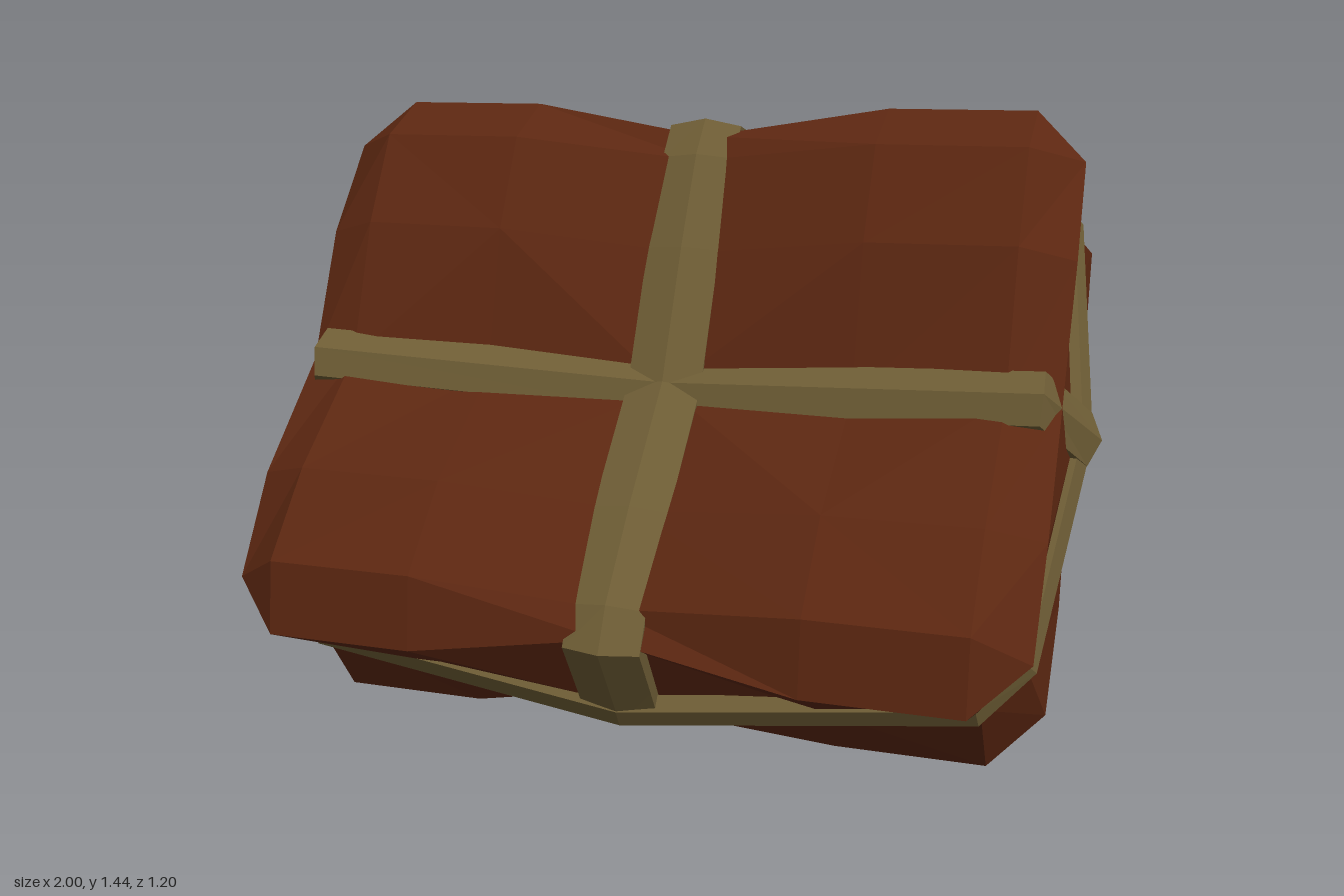
import * as THREE from 'three';

const cloth = new THREE.MeshStandardMaterial({ color: 0x5c2711, flatShading: true });
cloth.name = 'brown cloth';
const cord = new THREE.MeshStandardMaterial({ color: 0x6e5d35, flatShading: true });
cord.name = 'tan strap';

// Completes a quarter loop (from the vertical axis to the horizontal one) by mirroring it
function fullLoop(quarter) {
  const flip = (p, sx, sy) => [p[0] * sx, p[1] * sy, p[2] ?? 0];
  const back = [...quarter].reverse();
  return [
    ...quarter.map(p => flip(p, 1, 1)),
    ...back.slice(1).map(p => flip(p, 1, -1)),
    ...quarter.slice(1).map(p => flip(p, -1, -1)),
    ...back.slice(1, -1).map(p => flip(p, -1, 1)),
  ];
}

// Skins a list of matching loops, front to back, with flat facets
function loft(loops, place = p => p) {
  const pos = [];
  const tri = (...corners) => {
    const [a, b, c] = corners.map(p => new THREE.Vector3(...place(p)));
    const area = b.clone().sub(a).cross(c.clone().sub(a)).length();
    if (area > 1e-7) for (const v of [a, b, c]) pos.push(v.x, v.y, v.z);
  };
  for (let i = 0; i + 1 < loops.length; i++) {
    const A = loops[i], B = loops[i + 1];
    A.forEach((a, j) => {
      const k = (j + 1) % A.length;
      tri(a, A[k], B[j]);
      tri(A[k], B[k], B[j]);
    });
  }
  const geo = new THREE.BufferGeometry();
  geo.setAttribute('position', new THREE.Float32BufferAttribute(pos, 3));
  geo.computeVertexNormals();
  return geo;
}

// Lumpy parcel, pinched where the straps pull it in
function bundleGeometry() {
  const centre = [0, 0, 0.13], bulge = [0.45, 0.33, 0.28], corner = [0.8, 0.57, 0.312];
  const half = [
    Array(6).fill(centre),
    [[0, 0.33, 0.19], bulge, bulge, bulge, bulge, [0.45, 0, 0.155]],
    [[0, 0.57, 0.22], [0.45, 0.57, 0.312], corner, corner, [0.8, 0.33, 0.288], [0.8, 0, 0.195]],
    [[0, 0.64, 0.218], [0.45, 0.72, 0.228], [0.8, 0.72, 0.228], [0.92, 0.59, 0.22], [0.925, 0.33, 0.23], [0.92, 0, 0.17]],
  ].map(fullLoop);
  const waist = fullLoop([[0, 0.73], [0.45, 0.69], [0.8, 0.645], [0.885, 0.535], [0.9, 0.33], [0.94, 0]]);
  const rear = half.map(r => r.map(([x, y, z]) => [x, y, -z])).reverse();
  return loft([...half, waist, ...rear]);
}

// Closed strap with a slightly ridged outer face, following a quarter path
function strapGeometry(quarter, halfWidth, lift, place) {
  const path = fullLoop(quarter), n = path.length;
  const inset = (depth, offset) => path.map((p, i) => {
    const a = path[(i + n - 1) % n], b = path[(i + 1) % n];
    const tx = b[0] - a[0], ty = b[1] - a[1], len = Math.hypot(tx, ty);
    return [p[0] + ty / len * depth, p[1] - tx / len * depth, offset];
  });
  return loft([
    inset(lift + 0.04, halfWidth), inset(lift, halfWidth), inset(0, 0),
    inset(lift, -halfWidth), inset(lift + 0.04, -halfWidth),
  ], place);
}

export function createModel() {
  const model = new THREE.Group();
  model.name = 'tiedBundle';
  const tilt = new THREE.Group();
  tilt.name = 'leaningBundle';
  tilt.rotation.x = -0.615;
  tilt.position.y = 0.7225;
  model.add(tilt);

  const add = (name, geo, mat) => {
    const mesh = new THREE.Mesh(geo, mat);
    mesh.name = name;
    tilt.add(mesh);
  };
  add('bundle', bundleGeometry(), cloth);

  // Strap over the front, top, back and bottom
  add('verticalStrap', strapGeometry(
    [[0, 0.17], [0.33, 0.225], [0.57, 0.25], [0.68, 0.235], [0.735, 0.1], [0.775, 0]],
    0.09, 0.018, ([p, q, o]) => [o, p, q]), cord);

  // Strap over the front, ends and back
  add('horizontalStrap', strapGeometry(
    [[0, 1.0], [0.243, 0.885], [0.165, 0]],
    0.065, 0.027, ([p, q, o]) => [q, o, p]), cord);

  // Strap along the narrow edges
  add('edgeStrap', strapGeometry(
    [[0, 0.78], [0.8, 0.68], [0.91, 0.55], [0.98, 0]],
    0.043, 0.02), cord);

  return model;
}
